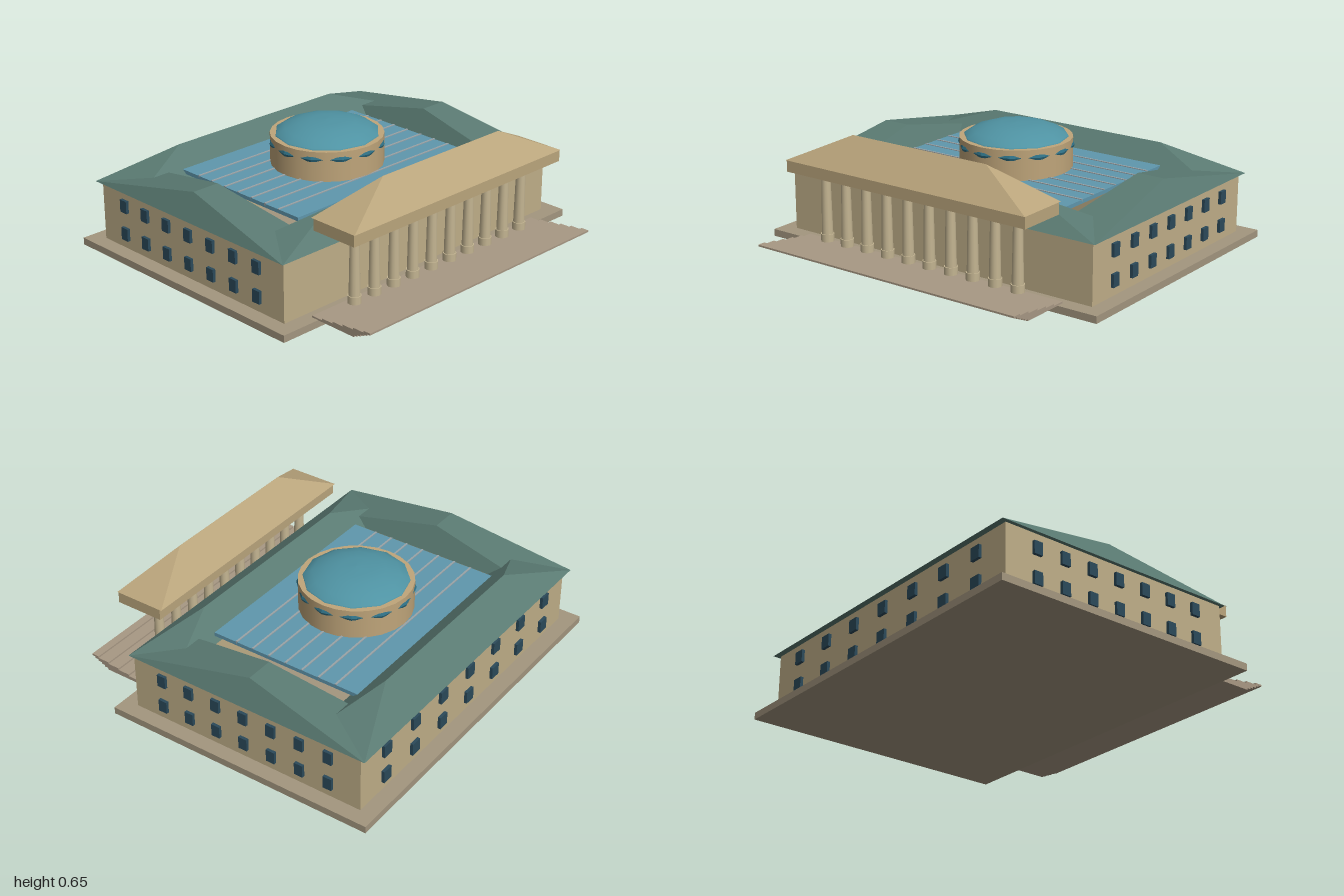
import * as THREE from 'three';

const mat = (color, flatShading = true) =>
  new THREE.MeshStandardMaterial({ color, flatShading });
const stone = mat(0xbfae88), paving = mat(0xa3967f), stepStone = mat(0xa89884);
const roofGreen = mat(0x5a7a72), tan = mat(0xbaa57c), windowBlue = mat(0x2b4a5a);
const glassBlue = mat(0x5f97ad), barGrey = mat(0x9aa4a8), ringBlue = mat(0x2f7085);
const tanSmooth = mat(0xbfa57a, false), columnStone = mat(0xc4b592, false);
const domeBlue = mat(0x4f93a3, false);
domeBlue.side = THREE.DoubleSide;

const CZ = -0.165; // centre of the main block in z

export function createModel() {
  const root = new THREE.Group();

  const add = (name, geometry, material, parent = root) => {
    const mesh = new THREE.Mesh(geometry, material);
    mesh.name = name;
    parent.add(mesh);
    return mesh;
  };
  const group = (name) => {
    const g = new THREE.Group();
    g.name = name;
    root.add(g);
    return g;
  };
  // box given by its min and max on each axis
  const box = (name, [x0, x1], [y0, y1], [z0, z1], material, parent) => {
    const m = add(name, new THREE.BoxGeometry(x1 - x0, y1 - y0, z1 - z0), material, parent);
    m.position.set((x0 + x1) / 2, (y0 + y1) / 2, (z0 + z1) / 2);
    return m;
  };
  // hip roof: a box whose top is pinched to a ridge along x
  const hipRoof = (name, [x0, x1], [y0, y1], [z0, z1], ridge, material, parent) => {
    const m = box(name, [x0, x1], [y0, y1], [z0, z1], material, parent);
    const p = m.geometry.attributes.position;
    for (let i = 0; i < p.count; i++) {
      if (p.getY(i) > 0) {
        p.setX(i, Math.sign(p.getX(i)) * ridge / 2);
        p.setZ(i, Math.sign(p.getZ(i)) * 0.0005);
      }
    }
    m.geometry.computeVertexNormals();
    return m;
  };

  // Plinth
  box('plinth', [-1, 1], [0, 0.037], [-0.91, 0.58], paving);

  // Four wings around a courtyard
  const wings = group('wings');
  const wallY = [0.036, 0.345];
  box('frontWing', [-0.92, 0.92], wallY, [0.25, 0.497], stone, wings);
  box('backWing', [-0.92, 0.92], wallY, [-0.827, -0.55], stone, wings);
  box('leftWing', [0.68, 0.92], wallY, [-0.55, 0.25], stone, wings);
  box('rightWing', [-0.92, -0.68], wallY, [-0.55, 0.25], stone, wings);

  // Wing roofs
  const roofs = group('wingRoofs');
  hipRoof('frontRoof', [-0.94, 0.94], [0.345, 0.453], [0.23, 0.515], 1.06, roofGreen, roofs);
  hipRoof('backRoof', [-0.94, 0.94], [0.345, 0.475], [-0.86, -0.53], 1.06, roofGreen, roofs);
  hipRoof('leftRoof', [0.66, 0.94], [0.345, 0.475], [-0.86, 0.515], 0.15, roofGreen, roofs);
  hipRoof('rightRoof', [-0.94, -0.66], [0.345, 0.475], [-0.86, 0.515], 0.15, roofGreen, roofs);

  // Windows: seven bays, two storeys, on the sides and the back
  const windows = group('windows');
  for (const y of [0.118, 0.268]) {
    for (let i = -3; i <= 3; i++) {
      const z = CZ + i * 0.162, x = i * 0.24, ys = [y - 0.033, y + 0.033];
      for (const s of [-1, 1]) {
        box('sideWindow', [s * 0.927 - 0.009, s * 0.927 + 0.009], ys, [z - 0.024, z + 0.024], windowBlue, windows);
      }
      box('backWindow', [x - 0.03, x + 0.03], ys, [-0.843, -0.825], windowBlue, windows);
    }
  }

  // Glazed courtyard roof with bars
  const glazing = group('courtyardGlazing');
  box('glassRoof', [-0.6, 0.6], [0.37, 0.39], [-0.59, 0.255], glassBlue, glazing);
  for (let i = -3; i <= 3; i++) {
    const z = CZ - 0.006 + i * 0.097;
    box('glazingBar', [-0.6, 0.6], [0.38, 0.394], [z - 0.005, z + 0.005], barGrey, glazing);
  }

  // Rotunda: drum, band and shallow dome
  const rotunda = group('rotunda');
  rotunda.position.z = CZ;
  add('drum', new THREE.CylinderGeometry(0.29, 0.29, 0.175, 24), tanSmooth, rotunda).position.y = 0.4575;
  const band = add('drumBand', new THREE.TorusGeometry(0.28, 0.018, 8, 12), ringBlue, rotunda);
  band.rotation.x = Math.PI / 2;
  band.position.y = 0.505;
  const domeProfile = [[0.268, 0.54], [0.265, 0.552], [0.22, 0.578], [0.15, 0.602], [0.08, 0.611], [0, 0.614]]
    .map(([r, y]) => new THREE.Vector2(r, y));
  add('dome', new THREE.LatheGeometry(domeProfile, 12), domeBlue, rotunda);

  // Portico: entablature, hip roof and ten columns
  const portico = group('portico');
  box('entablature', [-0.725, 0.725], [0.44, 0.5], [0.49, 0.752], tan, portico);
  hipRoof('porticoRoof', [-0.727, 0.727], [0.5, 0.652], [0.478, 0.757], 0.81, tan, portico);
  for (let i = 0; i < 10; i++) {
    const column = new THREE.Group();
    column.name = 'column';
    column.position.set((i - 4.5) * 0.131, 0, 0.62);
    portico.add(column);
    const drum = (name, top, bottom, y0, y1) => {
      add(name, new THREE.CylinderGeometry(top, bottom, y1 - y0, 12), columnStone, column)
        .position.y = (y0 + y1) / 2;
    };
    drum('columnBase', 0.034, 0.034, 0.073, 0.112);
    drum('columnShaft', 0.023, 0.029, 0.112, 0.425);
    drum('columnCapital', 0.031, 0.029, 0.424, 0.441);
  }

  // Thin stair slabs, each higher and further forward
  const stairs = group('stairs');
  for (let i = 0; i < 6; i++) {
    const y = 0.036 + i * 0.0092;
    box('stairSlab', [-0.785, 0.785], [y, y + 0.0092], [0.54 + i * 0.066, 0.81 + i * 0.0205], stepStone, stairs);
  }

  return root;
}
